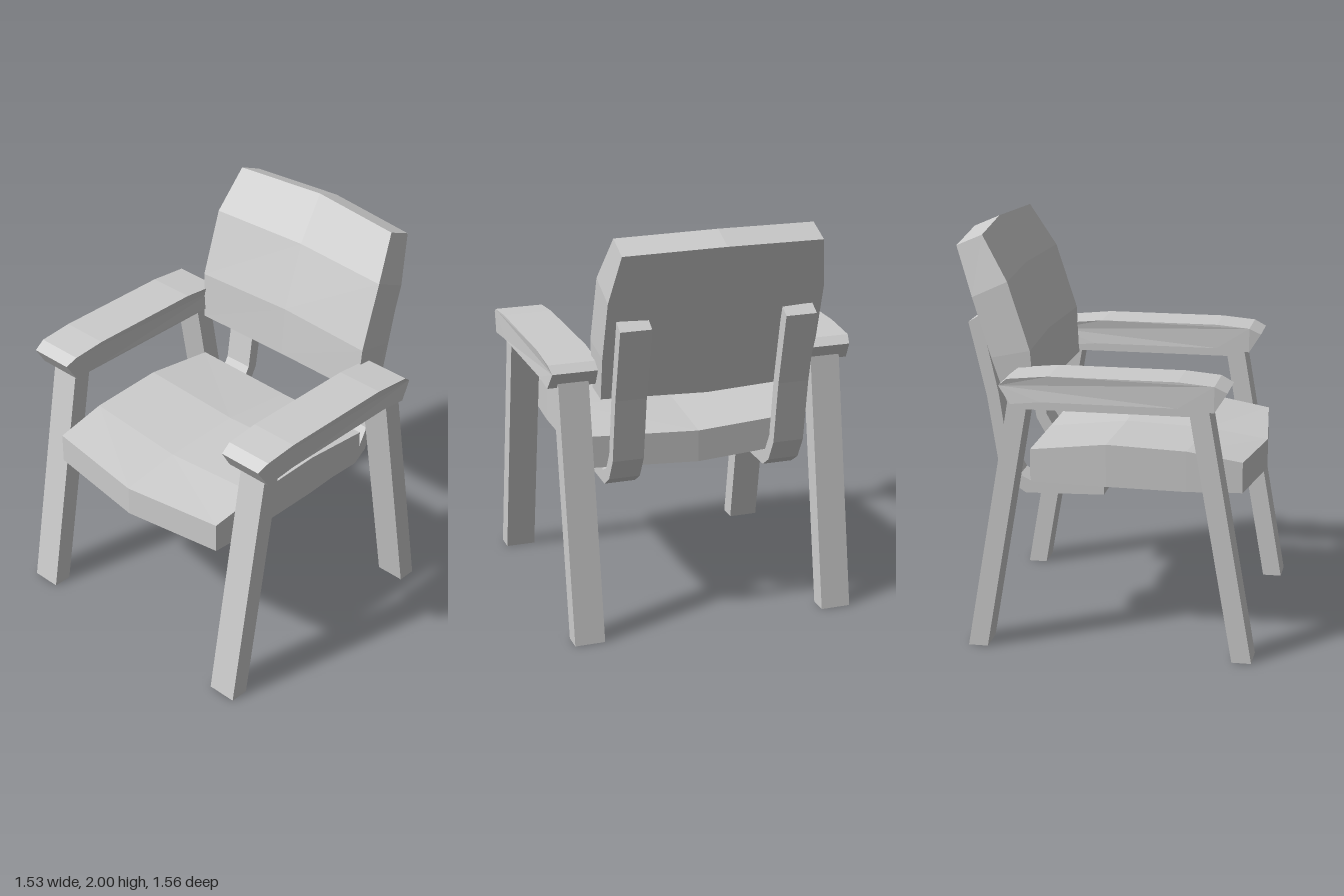
import * as THREE from 'three';

const material = new THREE.MeshStandardMaterial({
  color: 0xcccccc, flatShading: true, side: THREE.DoubleSide,
});

function addMesh(parent, name, geometry) {
  geometry.computeVertexNormals();
  const mesh = new THREE.Mesh(geometry, material);
  mesh.name = name;
  parent.add(mesh);
  return mesh;
}

// Side profile in x/y, extruded to a width centred on z = 0
function slab(points, width) {
  const shape = new THREE.Shape(points.map(([x, y]) => new THREE.Vector2(x, y)));
  return new THREE.ExtrudeGeometry(shape, { depth: width, bevelEnabled: false })
    .translate(0, 0, -width / 2);
}

// Moves every vertex by a rule that returns [x, y, z]
function reshape(geometry, rule) {
  const p = geometry.attributes.position;
  for (let i = 0; i < p.count; i++) p.setXYZ(i, ...rule(p.getX(i), p.getY(i), p.getZ(i)));
  return geometry;
}

// Hollow square leg, leaning from its foot to the armrest
function leg(footX, topX) {
  const h = 1.26;
  const g = new THREE.CylinderGeometry(Math.SQRT1_2, Math.SQRT1_2, h, 4, 1, true)
    .rotateY(Math.PI / 4);
  return reshape(g, (x, y, z) => {
    const t = y / h + 0.5;
    return [footX + (topX - footX) * t + x * 0.095, t * h, z * 0.15];
  });
}

// Cushion with a bowed front edge and a shallow dip along the middle
function seat() {
  const stations = [ // x, top, bottom, half width
    [-0.668, 0.94, 0.79, 0.535],
    [-0.40, 0.985, 0.785, 0.548],
    [-0.01, 1.0, 0.79, 0.552],
    [0.365, 0.955, 0.795, 0.54],
  ];
  return reshape(new THREE.BoxGeometry(3, 1, 2, 3, 1, 2), (x, y, z) => {
    const i = Math.round(x + 1.5);
    const [sx, top, bottom, w] = stations[i];
    const middle = 1 - Math.abs(z);
    const bow = [-0.057, -0.02, 0, 0.02][i] * middle;
    return [sx + bow, (y > 0 ? top : bottom) - 0.025 * middle, z * w];
  });
}

// Reclined back cushion, hollowed across its width
function backrest() {
  const rows = [ // front x, front y, rear x, rear y, half width
    [0.345, 1.2, 0.478, 1.18, 0.525],
    [0.36, 1.44, 0.55, 1.40, 0.537],
    [0.467, 1.77, 0.64, 1.69, 0.535],
    [0.596, 1.985, 0.723, 1.93, 0.492],
  ];
  return reshape(new THREE.BoxGeometry(1, 3, 2, 1, 3, 2), (x, y, z) => {
    const i = Math.round(y + 1.5);
    const [fx, fy, rx, ry, w] = rows[i];
    const middle = 1 - Math.abs(z);
    const dy = [-0.015, 0, 0, 0.015][i] * middle;
    const dx = [0.022, 0.028, 0.034, 0.04][i] * middle;
    return [(x < 0 ? fx : rx) + dx, (x < 0 ? fy : ry) + dy, z * w];
  });
}

const armProfile = [
  [-0.62, 1.33], [-0.56, 1.36], [-0.39, 1.375], [0.22, 1.375], [0.42, 1.355],
  [0.463, 1.32], [0.405, 1.235], [0.26, 1.25], [-0.39, 1.25], [-0.56, 1.235],
];
const railProfile = [[-0.5, 1.2], [0.4, 1.2], [0.39, 1.26], [-0.49, 1.26]];
const strapProfile = [
  [0.012, 0.73], [0.40, 0.72], [0.475, 0.77], [0.537, 0.88], [0.588, 1.2], [0.673, 1.56],
  [0.615, 1.595], [0.53, 1.22], [0.482, 0.9], [0.43, 0.81], [0.38, 0.785], [0.012, 0.79],
];

export function createModel() {
  const model = new THREE.Group();
  model.name = 'armchair';
  const chair = new THREE.Group();
  chair.name = 'chair';
  chair.rotation.y = -0.03;
  model.add(chair);

  addMesh(chair, 'seat', seat());
  addMesh(chair, 'backrest', backrest());

  for (const side of [-1, 1]) {
    const label = side > 0 ? 'left' : 'right';

    // Legs, rail and armrest form one side frame
    const frame = new THREE.Group();
    frame.name = `${label}SideFrame`;
    frame.position.z = side * 0.642;
    chair.add(frame);
    addMesh(frame, 'frontLeg', leg(-0.698, -0.477));
    addMesh(frame, 'rearLeg', leg(0.593, 0.377));
    addMesh(frame, 'rail', slab(railProfile, 0.15));
    const arm = reshape(slab(armProfile, 0.245),
      (x, y, z) => [x, y, Math.abs(x + 0.08) > 0.51 ? z * 0.92 : z]);
    addMesh(frame, 'armrest', arm);

    // Bent strap from under the seat to the rear of the backrest
    addMesh(chair, `${label}BackSupport`, slab(strapProfile, 0.155)).position.z = side * 0.41;
  }
  return model;
}
